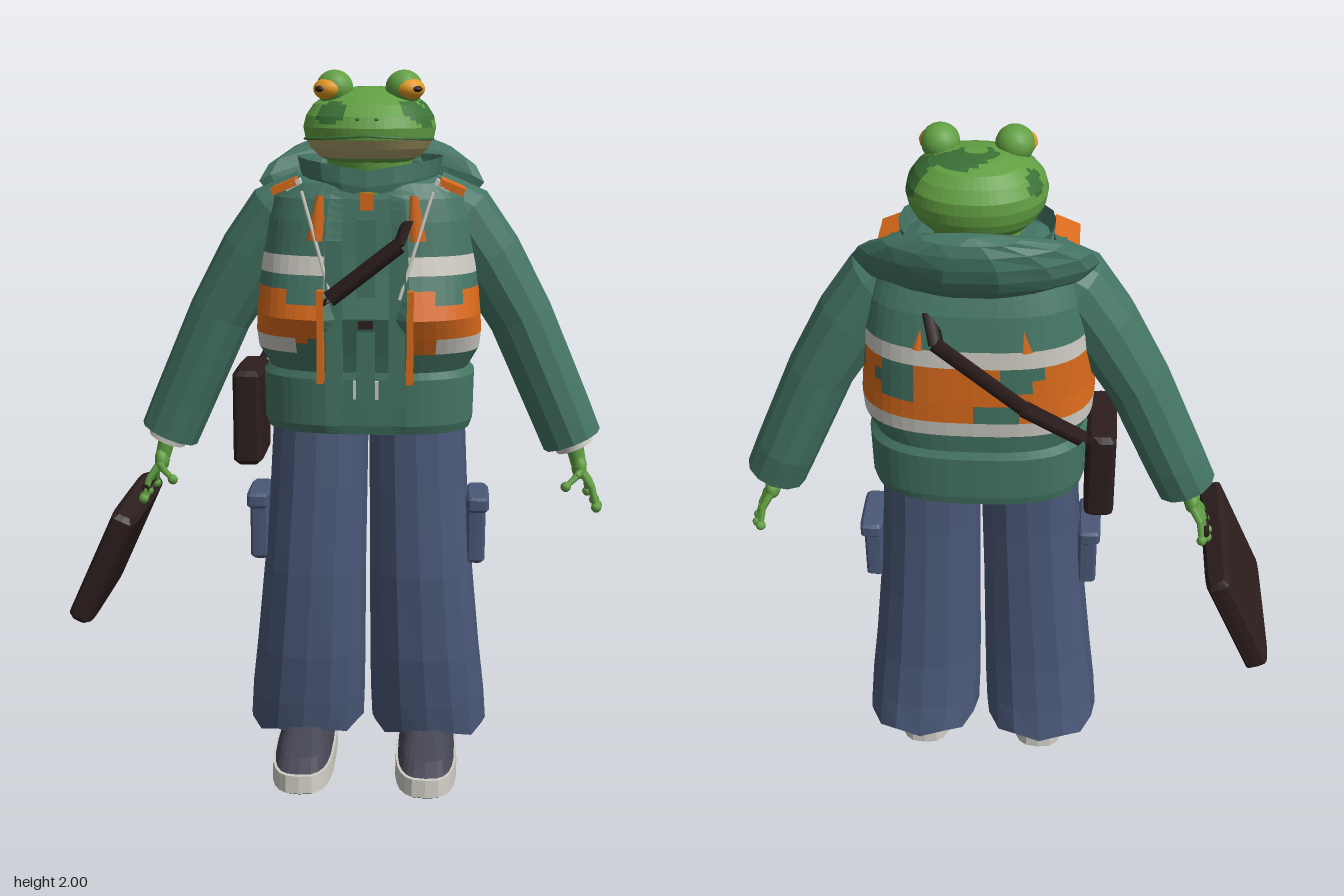
import * as THREE from 'three';

const V = (x, y, z) => new THREE.Vector3(x, y, z);
const mat = (name, color, side = THREE.FrontSide) => {
  const m = new THREE.MeshStandardMaterial({ color, side });
  m.name = name;
  return m;
};
const CX = 0.093; // body centre line; the case on one side shifts it off x = 0

// Horizontal rounded ring: e = 1 is an ellipse, smaller is boxier
function section([y, cx, rx, zf, zb], n, e = 1) {
  const pw = v => Math.sign(v) * Math.abs(v) ** e;
  return Array.from({ length: n }, (_, i) => {
    const a = (i / n) * Math.PI * 2;
    return V(cx + rx * pw(Math.cos(a)), y, (zf + zb) / 2 + (zf - zb) / 2 * pw(Math.sin(a)));
  });
}

// Insert k steps between neighbouring keys
function refine(keys, k) {
  const out = [];
  for (let i = 0; i < keys.length - 1; i++)
    for (let j = 0; j < k; j++) out.push(keys[i].map((v, c) => v + (keys[i + 1][c] - v) * j / k));
  return [...out, keys[keys.length - 1]];
}

// Skin rings from bottom to top; pick(centre) gives the material index of each face
function loft(rings, { pick = () => 0, caps = true, smooth = false } = {}) {
  const lists = [];
  const tri = (k, ...p) => (lists[k] ??= []).push(...p.flatMap(q => [q.x, q.y, q.z]));
  const n = rings[0].length;
  for (let r = 0; r < rings.length - 1; r++) for (let i = 0; i < n; i++) {
    const j = (i + 1) % n, a = rings[r][i], b = rings[r + 1][i], c = rings[r + 1][j], d = rings[r][j];
    const k = pick(a.clone().add(b).add(c).add(d).multiplyScalar(0.25));
    tri(k, a, b, c);
    tri(k, a, c, d);
  }
  if (caps) for (const top of [false, true]) {
    const ring = rings[top ? rings.length - 1 : 0];
    const c = ring.reduce((s, p) => s.add(p), V(0, 0, 0)).divideScalar(n);
    ring.forEach((p, i) => top ? tri(0, c, ring[(i + 1) % n], p) : tri(0, c, p, ring[(i + 1) % n]));
  }
  const g = new THREE.BufferGeometry(), pos = [];
  lists.forEach((l, k) => {
    g.addGroup(pos.length / 3, l.length / 3, k);
    for (const v of l) pos.push(v);
  });
  g.setAttribute('position', new THREE.Float32BufferAttribute(pos, 3));
  g.computeVertexNormals();
  return g;
}

// Rings along a path in the xy plane, keys [x, y, z, ru, rv], bottom to top
function sweep(keys, n) {
  return keys.map(([x, y, z, ru, rv], i) => {
    const a = keys[Math.max(i - 1, 0)], b = keys[Math.min(i + 1, keys.length - 1)];
    const t = V(b[0] - a[0], b[1] - a[1], 0).normalize();
    return Array.from({ length: n }, (_, j) => {
      const q = (j / n) * Math.PI * 2, c = Math.cos(q) * ru;
      return V(x + t.y * c, y - t.x * c, z + Math.sin(q) * rv);
    });
  });
}

export function createModel() {
  const root = new THREE.Group();
  root.name = 'frogTraveller';
  const teal = mat('jacketTeal', 0x447565, THREE.DoubleSide), orange = mat('safetyOrange', 0xdb6b1c);
  const light = mat('paleGrey', 0xcfccc4), denim = mat('denimBlue', 0x4a5878, THREE.DoubleSide);
  const brown = mat('darkLeather', 0x2c1e1d), green = mat('frogGreen', 0x62a043);
  const moss = mat('mossPatches', 0x3b7236), tan = mat('jawTan', 0xa99e68);
  const slate = mat('shoeSlate', 0x444552), amber = mat('eyeAmber', 0xe39a22);

  const add = (name, geo, m, parent = root) => {
    const o = new THREE.Mesh(geo, m);
    o.name = name;
    parent.add(o);
    return o;
  };
  const box = (name, m, x, y, z, w, h, d) => {
    const o = add(name, new THREE.BoxGeometry(w, h, d), m);
    o.position.set(x, y, z);
    return o;
  };
  const ball = (name, m, x, y, z, rx, ry = rx, rz = rx, seg = 16) => {
    const o = add(name, new THREE.SphereGeometry(1, seg, Math.ceil(seg * 0.7)), m);
    o.position.set(x, y, z);
    o.scale.set(rx, ry, rz);
    return o;
  };
  const rod = (name, m, a, b, ra, rb = ra, seg = 8) => {
    const o = add(name, new THREE.CylinderGeometry(rb, ra, a.distanceTo(b), seg), m);
    o.position.copy(a).lerp(b, 0.5);
    o.quaternion.setFromUnitVectors(V(0, 1, 0), b.clone().sub(a).normalize());
    return o;
  };
  // Box with chamfered edges
  const slab = (name, m, w, h, d, c = 0.014) => add(name, loft([[0, c], [c, 0], [h - c, 0], [h, c]]
    .map(([y, k]) => section([y - h / 2, 0, w / 2 - k, d / 2 - k, k - d / 2], 24, 0.3))), m);

  // Jacket body with reflective bands and camouflage panels
  const torso = refine([
    [1.015, CX, 0.287, 0.125, -0.245], [1.04, CX, 0.295, 0.135, -0.25], [1.17, CX, 0.297, 0.14, -0.255],
    [1.19, CX, 0.28, 0.135, -0.245], [1.245, CX, 0.31, 0.16, -0.25], [1.29, CX, 0.314, 0.185, -0.255],
    [1.345, CX, 0.31, 0.215, -0.257], [1.46, CX, 0.302, 0.175, -0.257], [1.51, CX, 0.298, 0.162, -0.255],
    [1.6, CX, 0.285, 0.148, -0.235], [1.66, CX, 0.265, 0.135, -0.21], [1.7, CX, 0.23, 0.115, -0.18],
    [1.73, CX, 0.15, 0.06, -0.13]], 3).map(k => section(k, 48, 0.72));
  for (const ring of torso) for (const p of ring)
    if (p.z > 0.12 && Math.abs(p.x - CX) < 0.1) p.z -= (p.z - 0.12) * 0.4;
  const camo = p => Math.sin(17 * p.x + 9 * p.y + 2) + Math.sin(31 * p.y - 13 * p.x) + Math.sin(23 * p.x + 20 * p.z);
  add('jacketBody', loft(torso, { pick: p => {
    const d = Math.abs(p.x - CX), front = p.z > 0;
    if (p.y > 1.46 && p.y < 1.51 && !(front && d < 0.13)) return 2;
    if (p.y > 1.245 && p.y < 1.29 && !(front && d < 0.2)) return 2;
    if (p.y > 1.245 && p.y < 1.46 && !(front && d < 0.11)) {
      if (front && p.y > 1.42) return 0;
      return camo(p) > 0.95 ? 0 : 1;
    }
    return 0;
  } }), [teal, orange, light]);

  // Front placket, tag, clips
  box('placket', teal, CX, 1.36, 0.15, 0.05, 0.5, 0.03);
  box('hemTag', light, CX, 1.145, 0.146, 0.07, 0.05, 0.012);
  box('hemClip', brown, CX, 1.185, 0.15, 0.04, 0.022, 0.02);
  box('chestClip', brown, CX, 1.33, 0.172, 0.04, 0.022, 0.02);
  box('collarTab', orange, CX, 1.655, 0.137, 0.035, 0.045, 0.02);

  // Neck, throat, collar and hood
  rod('neck', green, V(CX, 1.68, -0.02), V(CX, 1.79, -0.01), 0.11, 0.12, 16);
  ball('throat', green, CX, 1.675, 0.07, 0.08, 0.04, 0.06);
  const collar = [[1.67, CX, 0.165, 0.125, -0.16], [1.72, CX, 0.19, 0.13, -0.18], [1.765, CX, 0.2, 0.125, -0.18]]
    .map(k => section(k, 20, 0.85));
  for (const ring of collar) for (const p of ring) if (p.z > 0.05) p.y -= 0.03 * (1 - Math.abs(p.x - CX) / 0.2);
  add('collar', loft(collar, { caps: false }), teal);
  const hoodGeo = new THREE.SphereGeometry(1, 14, 8).toNonIndexed();
  hoodGeo.scale(0.315, 0.105, 0.058).rotateX(-0.35);
  const hp = hoodGeo.attributes.position;
  for (let i = 0; i < hp.count; i++) {
    const x = hp.getX(i);
    hp.setXYZ(i, x, hp.getY(i) - 0.45 * x * x, hp.getZ(i) + 1.2 * x * x);
  }
  hoodGeo.computeVertexNormals();
  add('hood', hoodGeo, teal).position.set(CX, 1.735, -0.215);

  // Head with mossy patches and a pale jaw
  const head = refine([[1.74, CX, 0.08, 0.08, -0.1], [1.765, CX, 0.135, 0.12, -0.135],
    [1.79, CX, 0.16, 0.142, -0.155], [1.815, CX, 0.174, 0.156, -0.165], [1.845, CX, 0.18, 0.16, -0.17],
    [1.875, CX, 0.173, 0.148, -0.168], [1.905, CX, 0.153, 0.118, -0.15], [1.93, CX, 0.12, 0.08, -0.125],
    [1.945, CX, 0.075, 0.04, -0.085], [1.951, CX, 0.03, 0, -0.04]], 3).map(k => section(k, 56, 0.92));
  add('head', loft(head, { pick: p => {
    if (p.y > 1.765 && p.y < 1.817 && p.z > -0.05) return 2;
    const s = Math.sin(29 * p.x + 14 * p.z) + Math.sin(37 * p.z - 15 * p.y + 1) + Math.sin(41 * p.y + 22 * p.x);
    return p.y > 1.83 && s > (p.z > 0.04 ? 1.3 : 0.65) ? 1 : 0;
  } }), [green, moss, tan]);
  const lip = Array.from({ length: 13 }, (_, i) => {
    const a = Math.PI * (0.08 + 0.84 * i / 12);
    return V(CX + 0.178 * Math.cos(a), 1.826 - 0.012 * Math.abs(Math.cos(a)), -0.004 + 0.165 * Math.sin(a) ** 0.92);
  });
  add('mouth', new THREE.TubeGeometry(new THREE.CatmullRomCurve3(lip), 30, 0.004, 5), moss);

  // Shoulder bag, its strap and the hand-held case
  slab('shoulderBag', brown, 0.085, 0.27, 0.25).position.set(-0.243, 1.045, -0.035);
  const strap = (name, pts) => pts.slice(1).forEach((b, i) => {
    const a = pts[i], o = rod(name, brown, a, b, 0.022, 0.022, 4);
    o.scale.z = 0.35;
    o.scale.y = 1.03;
  });
  strap('frontStrap', [V(0.2, 1.6, 0.15), V(0.18, 1.545, 0.205), V(0, 1.405, 0.21), V(-0.03, 1.38, 0.17)]);
  strap('backStrap', [V(0.2, 1.6, -0.22), V(0.18, 1.545, -0.28), V(-0.04, 1.36, -0.28),
    V(-0.19, 1.24, -0.235), V(-0.23, 1.16, -0.14)]);
  const caseBox = slab('briefcase', brown, 0.075, 0.345, 0.48);
  caseBox.position.set(-0.65, 0.625, -0.045);
  caseBox.rotation.z = -0.43;
  rod('caseHandle', brown, V(-0.552, 0.815, -0.1), V(-0.552, 0.815, 0.01), 0.012);

  for (const s of [-1, 1]) {
    const X = d => CX + s * d;
    // Eyes
    ball('eyelid', green, X(0.093), 1.947, 0.032, 0.05, 0.048, 0.05);
    ball('eye', amber, X(0.107), 1.945, 0.048, 0.042, 0.03, 0.042);
    ball('pupil', brown, X(0.127), 1.945, 0.075, 0.016, 0.009, 0.016, 10);
    ball('nostril', moss, X(0.025), 1.868, 0.149, 0.006, 0.004, 0.006, 8);

    // Sleeves
    add('sleeve', loft(sweep([[X(0.58), 0.967, -0.06, 0.085, 0.08], [X(0.54), 1.06, -0.065, 0.087, 0.088],
      [X(0.425), 1.32, -0.06, 0.09, 0.095], [X(0.325), 1.49, -0.055, 0.1, 0.102],
      [X(0.25), 1.6, -0.05, 0.1, 0.104], [X(0.16), 1.66, -0.045, 0.075, 0.09]], 12)), teal);
    rod('cuff', light, V(X(0.577), 0.975, -0.05), V(X(0.588), 0.95, -0.05), 0.055, 0.055, 12);

    // Hands with round fingertips
    rod('wrist', green, V(X(0.585), 0.96, -0.045), V(X(0.6), 0.9, -0.04), 0.026, 0.022);
    ball('palm', green, X(0.602), 0.892, -0.04, 0.022, 0.036, 0.04, 10);
    for (const [d, y, z] of [[0.65, 0.785, 0.01], [0.656, 0.78, -0.035], [0.652, 0.785, -0.075],
      [0.635, 0.8, -0.11], [0.56, 0.85, 0.03]]) {
      const a = V(X(0.605), 0.885, -0.04 + (z + 0.04) * 0.4), b = V(X(d), y, z);
      const knuckle = a.clone().lerp(b, 0.5).add(V(s * 0.008, 0.006, 0));
      rod('finger', green, a, knuckle, 0.012, 0.01, 6);
      rod('finger', green, knuckle, b, 0.01, 0.008, 6);
      ball('fingertip', green, b.x, b.y, b.z, 0.015, 0.015, 0.015, 8);
    }

    // Wide trouser legs with cargo pockets
    const leg = [[0.095, 0.183, 0.17, 0.1, -0.255], [0.2, 0.177, 0.168, 0.115, -0.235],
      [0.35, 0.167, 0.16, 0.13, -0.215], [0.6, 0.154, 0.148, 0.133, -0.2],
      [0.85, 0.143, 0.14, 0.115, -0.19], [1.04, 0.137, 0.136, 0.1, -0.19]]
      .map(([y, d, ...r]) => section([y, X(d), ...r], 16, 0.85));
    leg[0].forEach((p, i) => { p.y += i % 2 ? 0.018 : 0; });
    add('trouserLeg', loft(leg), denim);
    slab('cargoPocket', denim, 0.055, 0.19, 0.155, 0.01).position.set(X(0.31), 0.715, -0.033);
    slab('pocketFlap', denim, 0.065, 0.045, 0.175, 0.008).position.set(X(0.314), 0.795, -0.033);

    // Shoes
    const shoe = (name, m, keys) =>
      add(name, loft(keys.map(([y, r, f, b]) => section([y, X(0.178), r, f, b], 24, 0.65))), m);
    shoe('outsole', slate, [[0, 0.082, 0.275, -0.19], [0.008, 0.088, 0.285, -0.195]]);
    shoe('midsole', light, [[0.008, 0.09, 0.288, -0.198], [0.058, 0.088, 0.283, -0.196]]);
    shoe('shoeUpper', slate, [[0.058, 0.082, 0.27, -0.19], [0.085, 0.074, 0.22, -0.18], [0.13, 0.055, 0.09, -0.16]]);
    box('shoeLaces', light, X(0.178), 0.095, 0.165, 0.06, 0.008, 0.03).rotation.x = 0.35;

    // Vest trim: front edges, tapered tabs, shoulder piping, drawcords
    box('frontFlap', teal, X(0.085), 1.33, 0.158, 0.045, 0.45, 0.05);
    box('zipEdge', orange, X(0.12), 1.3, 0.19, 0.018, 0.25, 0.045);
    for (const [z, y, h] of [[0.146, 1.61, 0.12], [-0.24, 1.565, 0.12]]) {
      const tab = rod('vestTab', orange, V(X(0.135), y - h / 2, z), V(X(0.125), y + h / 2, z + (z > 0 ? -0.01 : 0.03)), 0.025, 0.01, 4);
      tab.scale.z = 0.5;
    }
    box('shoulderPiping', orange, X(0.225), 1.69, 0.05, 0.07, 0.02, 0.12).rotation.z = -s * 0.4;
    box('collarPoint', light, X(0.2), 1.695, 0.085, 0.045, 0.015, 0.05).rotation.z = -s * 0.5;
    rod('drawcord', light, V(X(0.175), 1.68, 0.125), V(X(0.09), 1.4, 0.188), 0.005, 0.005, 5);
  }
  return root;
}
